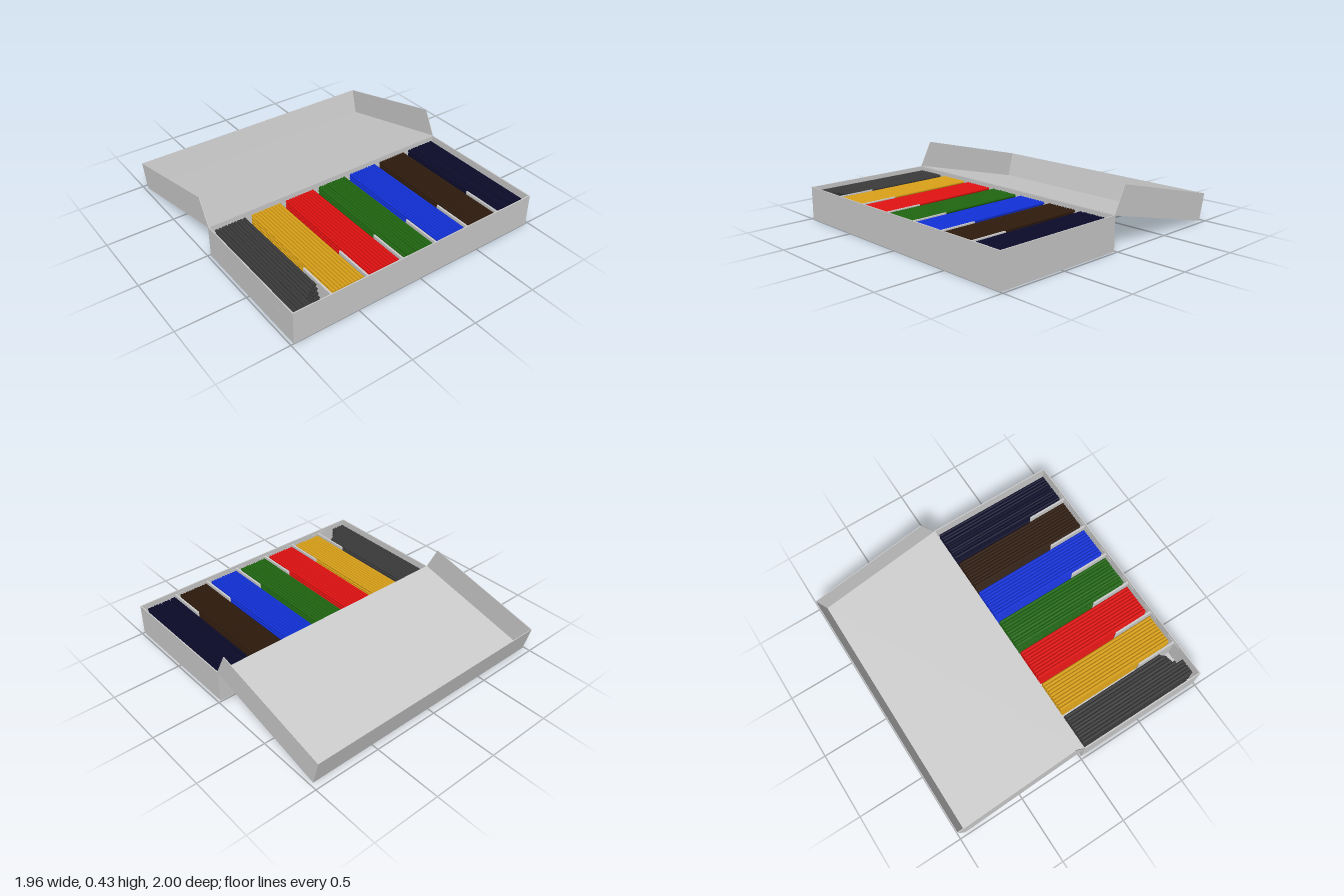
import * as THREE from 'three';
import { mergeGeometries } from 'three/addons/utils/BufferGeometryUtils.js';

const W = 1.96, H = 0.24, Z0 = 0.01, Z1 = 1, T = 0.008;

function rng(seed) {
  return () => (seed = (seed * 16807) % 2147483647) / 2147483647;
}

export function createModel() {
  const model = new THREE.Group();
  const grey = new THREE.MeshStandardMaterial({ color: 0xcccccc, side: THREE.DoubleSide });

  const add = (parent, name, geo, mat = grey) => {
    const mesh = new THREE.Mesh(geo, mat);
    mesh.name = name;
    parent.add(mesh);
    return mesh;
  };
  const box = (parent, name, w, h, d, x, y, z) =>
    add(parent, name, new THREE.BoxGeometry(w, h, d), grey).position.set(x, y, z);

  // Tray: floor and four thin walls
  const tray = new THREE.Group();
  tray.name = 'tray';
  model.add(tray);
  const D = Z1 - Z0, zc = (Z0 + Z1) / 2;
  box(tray, 'trayFloor', W, T, D, 0, T / 2, zc);
  box(tray, 'trayFront', W, H, T, 0, H / 2, Z1 - T / 2);
  box(tray, 'trayBack', W, H, T, 0, H / 2, Z0 + T / 2);
  for (const s of [-1, 1]) {
    box(tray, 'traySide', T, H, D - 2 * T, s * (W / 2 - T / 2), H / 2, zc);
    // small locking tabs showing through the sides
    for (const z of [0.18, 0.84]) box(tray, 'lockingTab', 0.003, 0.07, 0.008, s * W / 2, 0.125, z);
  }

  // Rounded-end dividers with a foot folded against the front wall
  for (let i = 0; i < 6; i++) {
    const x = -0.69 + i * 0.276;
    const h = 0.21, r = 0.007;
    const shape = new THREE.Shape();
    shape.moveTo(-r, -(Z1 - T));
    shape.lineTo(r, -(Z1 - T));
    shape.lineTo(r, -0.69);
    shape.absarc(0, -0.69, r, 0, Math.PI, false);
    shape.closePath();
    const geo = new THREE.ExtrudeGeometry(shape, { depth: h, bevelEnabled: false, curveSegments: 6 });
    geo.rotateX(-Math.PI / 2);
    add(tray, 'divider', geo).position.set(x, T, 0);
    box(tray, 'dividerFoot', 0.13, h, 0.004, x, T + h / 2, Z1 - T - 0.003);
  }

  // Lid: side outline given as [z, y], hinged on the tray's back edge
  const lid = new THREE.Group();
  lid.name = 'lid';
  model.add(lid);
  const hinge = [0.015, 0.242], hingeTip = [-0.08, 0.425], rearTip = [-0.998, 0.2], rear = [-0.95, 0.008];
  const panel = (name, a, b) => {
    const dz = b[0] - a[0], dy = b[1] - a[1];
    const mesh = add(lid, name, new THREE.BoxGeometry(W, 0.004, Math.hypot(dz, dy)));
    mesh.position.set(0, (a[1] + b[1]) / 2, (a[0] + b[0]) / 2);
    mesh.rotation.x = -Math.atan2(dy, dz);
  };
  panel('lidPanel', hinge, rear);
  panel('lidFlap', rear, rearTip);
  const outline = new THREE.Shape([hinge, hingeTip, rearTip, rear].map(([z, y]) => new THREE.Vector2(-z, y)));
  for (const s of [-1, 1]) {
    const geo = new THREE.ExtrudeGeometry(outline, { depth: 0.005, bevelEnabled: false });
    geo.rotateY(Math.PI / 2);
    add(lid, 'lidSide', geo).position.x = s > 0 ? W / 2 - 0.005 : -W / 2;
  }

  // Seven coloured bundles of thin rods; "rough" ones lie less evenly
  const bundles = [
    { color: 0x3a3a3a, rough: true, broken: true },
    { color: 0xd9a017 },
    { color: 0xe01010 },
    { color: 0x1f6610, rough: true },
    { color: 0x1030d8 },
    { color: 0x2e1a0c },
    { color: 0x0a0a2a, rough: true },
  ];
  const cols = 10, rows = 9, step = 0.0234, r = step / 2;
  bundles.forEach(({ color, rough, broken }, b) => {
    const rand = rng(b * 97 + 11);
    const cx = (b - 3) * 0.2755;
    const rods = [];
    for (let i = 0; i < cols; i++) {
      for (let j = 0; j < rows; j++) {
        // one front corner is worn away in steps, deepest at the top
        let front = 0.965;
        if (broken && i > 4) front -= Math.sqrt(i - 4) * 0.052 * ((j + 1) / rows);
        const back = 0.035, len = front - back;
        const rod = new THREE.CylinderGeometry(r, r, len, 8);
        rod.rotateX(Math.PI / 2);
        if (rough) rod.rotateZ(rand() * 0.6).rotateY((rand() - 0.5) * 0.012).rotateX((rand() - 0.5) * 0.006);
        rod.translate(cx + (i - (cols - 1) / 2) * step, T + r + j * step, (front + back) / 2);
        rods.push(rod);
      }
    }
    add(model, 'rodBundle' + (b + 1), mergeGeometries(rods), new THREE.MeshStandardMaterial({ color }));
  });

  return model;
}
